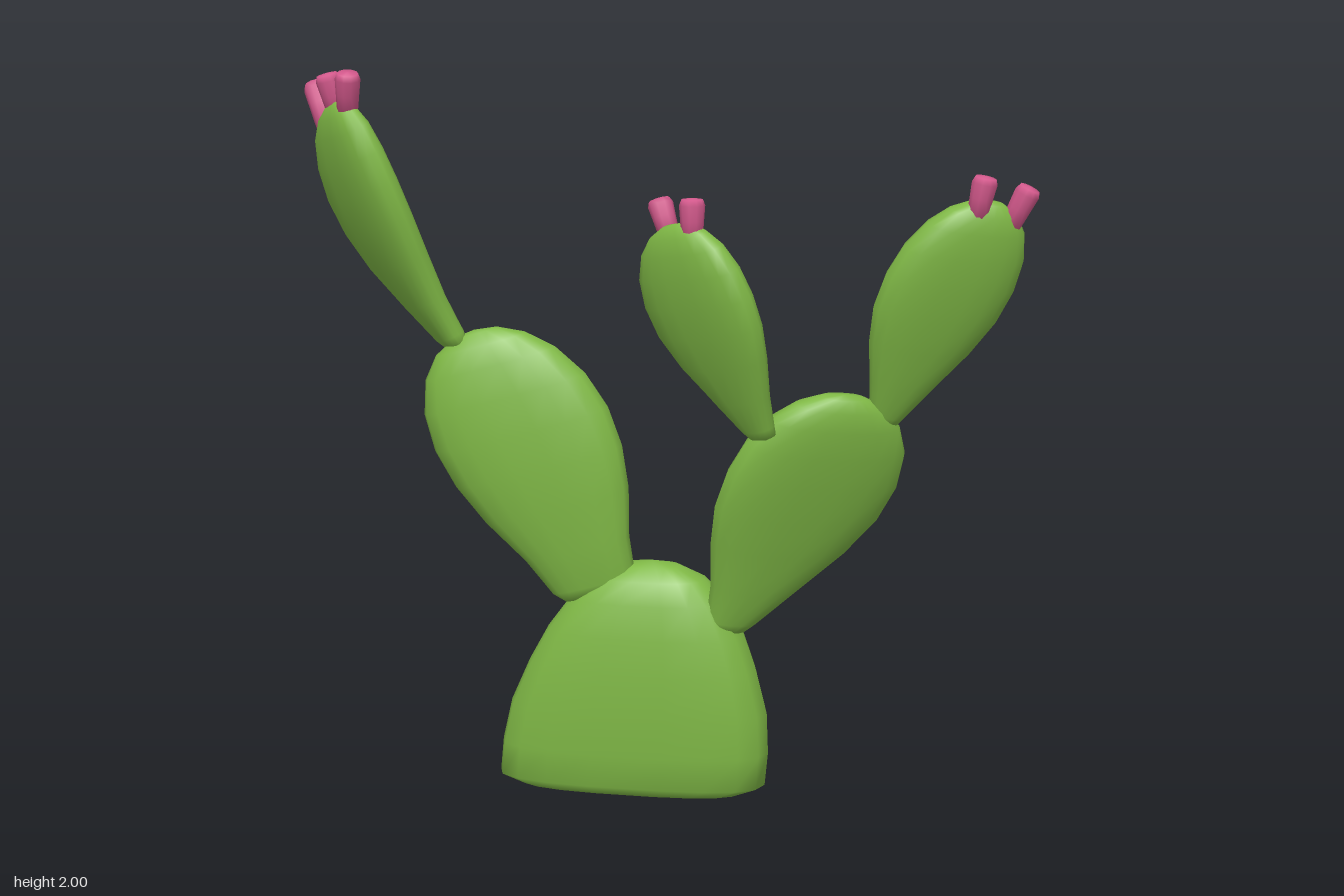
import * as THREE from 'three';
import { mergeVertices } from 'three/addons/utils/BufferGeometryUtils.js';

const V = (a) => new THREE.Vector3(...a);

// Flattened body swept from base to tip; each ring is [t, width factor, thickness factor],
// and bend is the offset of the centre line halfway along
function loft(base, tip, wide, halfWidth, halfThick, rings, power, bend = [0, 0, 0]) {
  const b = V(base), axis = V(tip).sub(b), w = V(wide).normalize(), off = V(bend);
  const n = axis.clone().cross(w).normalize();
  const sides = 18, pos = [], idx = [];
  const round = (v) => Math.sign(v) * Math.pow(Math.abs(v), power);
  rings.forEach(([t, fw, ft], i) => {
    for (let j = 0; j < sides; j++) {
      const a = (j / sides) * Math.PI * 2;
      const p = b.clone().addScaledVector(axis, t)
        .addScaledVector(off, 4 * t * (1 - t))
        .addScaledVector(w, round(Math.cos(a)) * halfWidth * fw)
        .addScaledVector(n, round(Math.sin(a)) * halfThick * ft);
      pos.push(p.x, p.y, p.z);
      if (i < rings.length - 1) {
        const k = (j + 1) % sides, r = i * sides, s = r + sides;
        if (fw > 0) idx.push(r + j, r + k, s + k);
        if (rings[i + 1][1] > 0) idx.push(r + j, s + k, s + j);
      }
    }
  });
  let g = new THREE.BufferGeometry();
  g.setAttribute('position', new THREE.Float32BufferAttribute(pos, 3));
  g.setIndex(idx);
  g = mergeVertices(g, 1e-5);
  g.computeVertexNormals();
  return g;
}

export function createModel() {
  const group = new THREE.Group();
  const green = new THREE.MeshStandardMaterial({ name: 'cactus green', color: 0x80b946 });
  const pink = new THREE.MeshStandardMaterial({ name: 'fruit pink', color: 0xd2588b });
  const add = (name, geo, mat) => {
    const m = new THREE.Mesh(geo, mat);
    m.name = name;
    group.add(m);
    return m;
  };

  // Trunk: broad dome with a bevelled foot
  const trunkRings = [
    [0.012, 0, 0], [0.018, 0.82, 0.7], [0.06, 1, 0.93], [0.2, 1, 1], [0.37, 0.96, 1.05], [0.55, 0.85, 1.03],
    [0.7, 0.73, 0.97], [0.84, 0.57, 0.85], [0.93, 0.4, 0.65], [0.98, 0.2, 0.38], [1, 0, 0],
  ];
  add('trunk', loft([-0.14, 0, -0.015], [-0.08, 0.665, -0.045], [0.78, 0, -0.62], 0.375, 0.12, trunkRings, 0.75), green);

  // Paddles: narrow at the joint, widest past the middle
  const padRings = (joint) => [
    [-0.02, 0, 0], [0, joint * 0.8, 0.4], [0.04, joint, 0.55], [0.18, joint * 0.5 + 0.36, 0.7],
    [0.35, joint * 0.2 + 0.73, 0.88], [0.5, 0.96, 0.97], [0.64, 1, 1], [0.77, 0.93, 0.95],
    [0.88, 0.75, 0.82], [0.95, 0.52, 0.6], [0.99, 0.25, 0.32], [1, 0, 0],
  ];
  // name, base, tip, width direction, half width, half thickness, joint width, bend
  const pads = [
    ['lowerRightPad', [-0.18, 0.57, 0.065], [-0.42, 1.295, 0.30], [-0.69, -0.27, 0.67], 0.247, 0.083, 0.48, [0.01, -0.01, 0]],
    ['lowerLeftPad', [0.095, 0.49, -0.16], [0.41, 1.165, -0.3], [0.42, -0.1, -0.9], 0.24, 0.078, 0.3, [0, 0, -0.045]],
    ['upperRightPad', [-0.455, 1.25, 0.33], [-0.62, 1.915, 0.605], [1, 0.2, 0.12], 0.165, 0.062, 0.3, [-0.05, 0, 0.025]],
    ['upperMiddlePad', [0.3, 1.06, -0.11], [0.19, 1.63, 0.1], [0.97, 0.15, -0.2], 0.172, 0.06, 0.28, [-0.017, 0, 0.017]],
    ['upperLeftPad', [0.43, 1.08, -0.42], [0.70, 1.69, -0.53], [0.48, -0.12, -0.86], 0.175, 0.068, 0.28, [0, 0, 0]],
  ];
  for (const [name, base, tip, wide, hw, ht, joint, bend] of pads) {
    add(name, loft(base, tip, wide, hw, ht, padRings(joint), 0.85, bend), green);
  }

  // Fruits: small blunt stubs standing on the upper pads, from root to end
  const profile = [[0, 0], [0.027, 0], [0.031, 0.5], [0.034, 0.84], [0.028, 0.97], [0, 1]];
  const fruits = [
    [[-0.695, 1.84, 0.58], [-0.765, 1.955, 0.57]],
    [[-0.635, 1.87, 0.58], [-0.647, 1.99, 0.61]],
    [[-0.573, 1.88, 0.595], [-0.543, 2.0, 0.612]],
    [[0.145, 1.59, 0.08], [0.1, 1.685, 0.08]],
    [[0.235, 1.58, 0.08], [0.235, 1.7, 0.08]],
    [[0.685, 1.64, -0.5], [0.708, 1.755, -0.51]],
    [[0.715, 1.61, -0.585], [0.765, 1.725, -0.615]],
  ];
  for (const [from, to] of fruits) {
    const dir = V(to).sub(V(from)), len = dir.length();
    const geo = new THREE.LatheGeometry(profile.map(([r, h]) => new THREE.Vector2(r, h * len)), 10);
    const m = add('fruit', geo, pink);
    m.position.set(...from);
    m.quaternion.setFromUnitVectors(new THREE.Vector3(0, 1, 0), dir.normalize());
  }
  return group;
}
